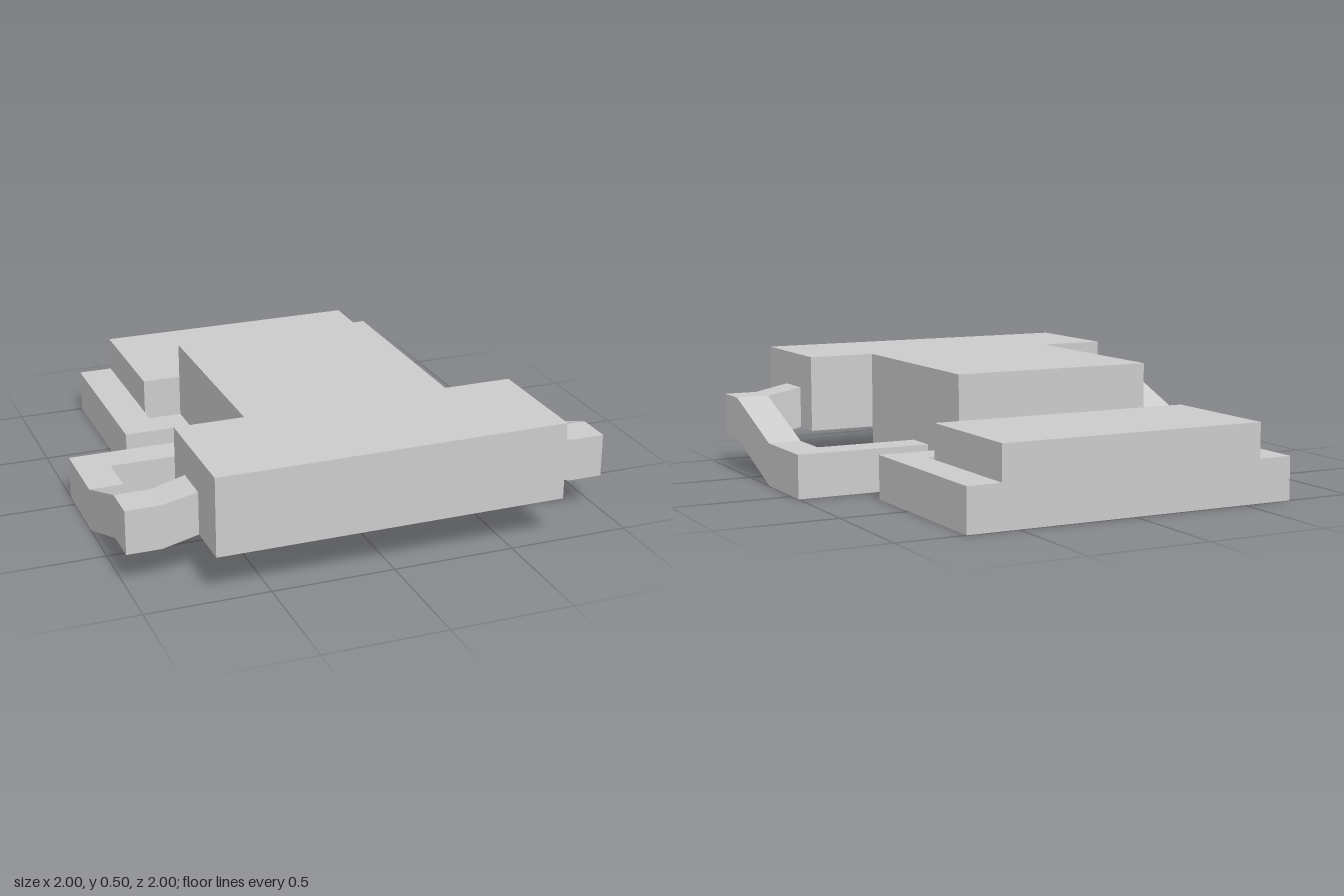
import * as THREE from 'three';

const material = new THREE.MeshStandardMaterial({ color: 0xcccccc, flatShading: true });

function add(parent, name, geometry) {
  const mesh = new THREE.Mesh(geometry, material);
  mesh.name = name;
  parent.add(mesh);
}

// Box given by its limits on each axis
function box(x0, x1, y0, y1, z0, z1) {
  return new THREE.BoxGeometry(x1 - x0, y1 - y0, z1 - z0)
    .translate((x0 + x1) / 2, (y0 + y1) / 2, (z0 + z1) / 2);
}

// Horizontal slab: the [x, z] outline of the +x half is mirrored, then raised from y0 to y1
function slab(half, y0, y1) {
  const mirrored = half.map(([x, z]) => [-x, z]).reverse();
  const shape = new THREE.Shape([...half, ...mirrored].map(([x, z]) => new THREE.Vector2(x, -z)));
  return new THREE.ExtrudeGeometry(shape, { depth: y1 - y0, bevelEnabled: false })
    .rotateX(-Math.PI / 2)
    .translate(0, y0, 0);
}

// Bent side arm: crossbar out of the stem, rising rail, short tip back to the body
function createArm(side) {
  const arm = new THREE.Group();
  arm.name = side > 0 ? 'leftArm' : 'rightArm';

  add(arm, 'crossbar', box(0.43, 1, 0, 0.18, -0.07, 0.07).translate(side > 0 ? 0 : -1.43, 0, 0));

  // [z, y] side profile of the rail
  const profile = [[0.07, 0], [0.26, 0], [0.645, 0.145], [0.795, 0.145],
    [0.795, 0.325], [0.645, 0.325], [0.26, 0.18], [0.07, 0.18]];
  const shape = new THREE.Shape(profile.map(([z, y]) => new THREE.Vector2(z, y)));
  add(arm, 'rail', new THREE.ExtrudeGeometry(shape, { depth: 0.14, bevelEnabled: false })
    .rotateY(-Math.PI / 2)
    .translate(side * 0.93 + 0.07, 0, 0));

  // Tip: a box whose inner end is lifted and slightly widened to the rear
  const tip = box(0.715, 0.86, 0.145, 0.325, 0.645, 0.795).translate(side > 0 ? 0 : -1.575, 0, 0);
  const p = tip.attributes.position;
  for (let i = 0; i < p.count; i++) {
    if (Math.abs(p.getX(i)) > 0.8) continue;
    p.setY(i, p.getY(i) > 0.2 ? 0.355 : 0.18);
    if (p.getZ(i) < 0.7) p.setZ(i, 0.63);
  }
  tip.computeVertexNormals();
  add(arm, 'tip', tip);
  return arm;
}

export function createModel() {
  const model = new THREE.Group();
  model.name = 'model';

  // T-shaped body with a wide front head, standing on the lower stem
  add(model, 'body', slab([[0.43, -0.36], [0.43, 0.5], [0.715, 0.5], [0.715, 1]], 0.18, 0.5));
  add(model, 'lowerStem', box(-0.43, 0.43, 0, 0.18, -0.36, 0.5));

  // Rear plate with prongs hugging the stem and a narrow slot behind it
  add(model, 'rearPlate', slab([[0.715, -1], [0.715, -0.22], [0.43, -0.22],
    [0.43, -0.36], [0.57, -0.36], [0.57, -0.43]], 0, 0.18));
  add(model, 'rearBlock', box(-0.57, 0.57, 0.18, 0.325, -1, -0.43));

  for (const side of [1, -1]) model.add(createArm(side));
  return model;
}
